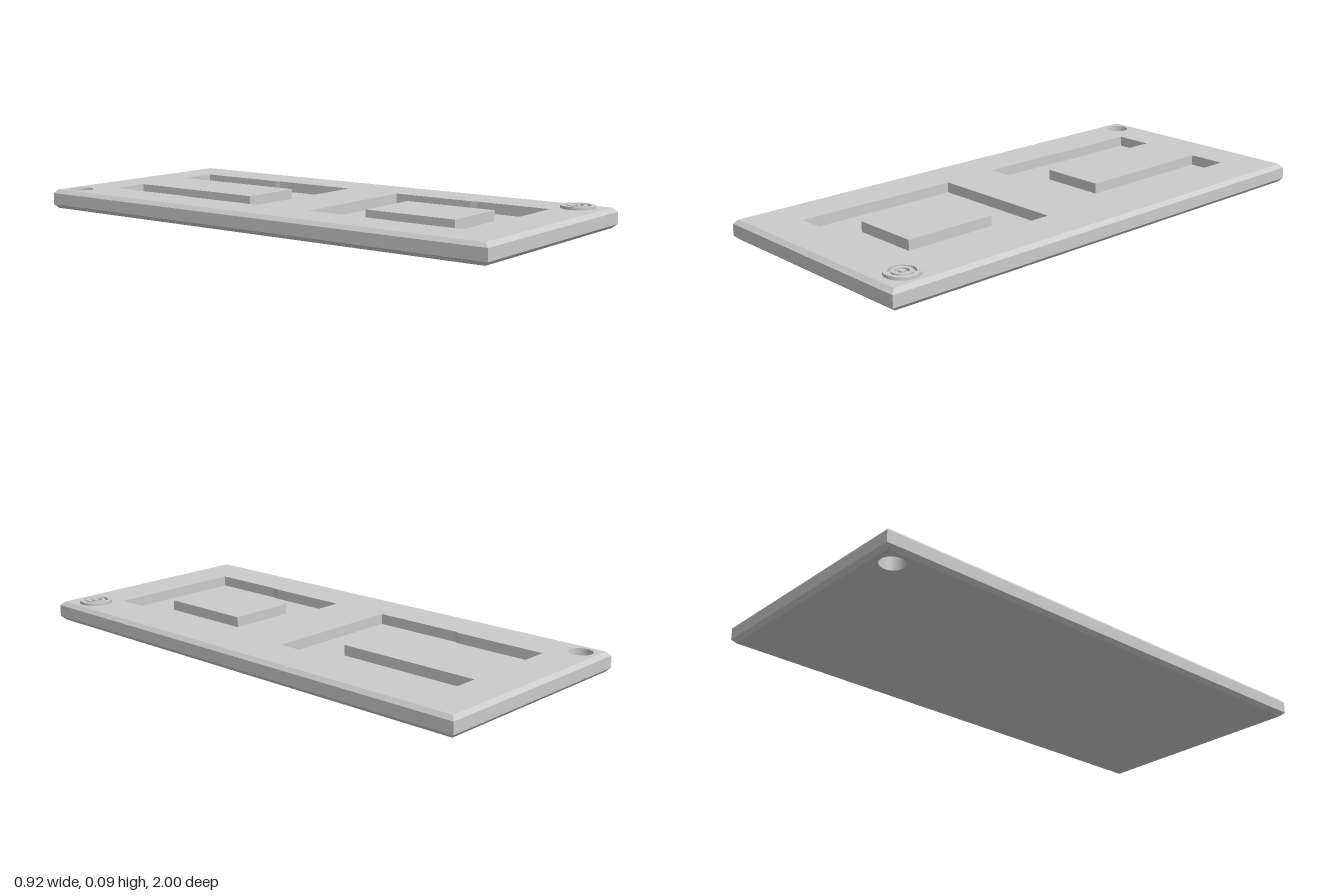
import * as THREE from 'three';

const TOP = 0.075, FLOOR = 0.035;

export function createModel() {
  const group = new THREE.Group();
  const mat = new THREE.MeshStandardMaterial({ color: 0xcccccc, side: THREE.DoubleSide });

  const add = (name, geo) => {
    const mesh = new THREE.Mesh(geo, mat);
    mesh.name = name;
    group.add(mesh);
    return mesh;
  };

  // outlines are lists of [x, z], counter-clockwise seen from above
  const rect = (x, z0, z1) => [[-x, z1], [x, z1], [x, z0], [-x, z0]];
  const circle = (cx, cz, r, n = 40) => Array.from({ length: n }, (_, i) => {
    const t = (i / n) * Math.PI * 2;
    return [cx + r * Math.cos(t), cz - r * Math.sin(t)];
  });
  const vecs = pts => pts.map(([x, z]) => new THREE.Vector2(x, -z));

  // flat horizontal face with holes
  const face = (name, outline, y, holes = [], down = false) => {
    const shape = new THREE.Shape(vecs(outline));
    shape.holes = holes.map(h => new THREE.Path(vecs(h)));
    const geo = new THREE.ShapeGeometry(shape).rotateX(-Math.PI / 2).translate(0, y, 0);
    if (down) {
      geo.index.array.reverse();
      geo.computeVertexNormals();
    }
    return add(name, geo);
  };

  // flat-sided walls through stacked outlines; inward turns them to face the middle
  const walls = (name, rings, inward = false) => {
    const pos = [];
    for (let k = 0; k < rings.length - 1; k++) {
      const [lo, y0] = rings[k], [hi, y1] = rings[k + 1];
      lo.forEach((_, i) => {
        const j = (i + 1) % lo.length;
        const a = [lo[i][0], y0, lo[i][1]], b = [lo[j][0], y0, lo[j][1]];
        const c = [hi[j][0], y1, hi[j][1]], d = [hi[i][0], y1, hi[i][1]];
        const quad = inward ? [a, c, b, a, d, c] : [a, b, c, a, c, d];
        pos.push(...quad.flat());
      });
    }
    const geo = new THREE.BufferGeometry();
    geo.setAttribute('position', new THREE.Float32BufferAttribute(pos, 3));
    geo.computeVertexNormals();
    return add(name, geo);
  };

  // slab with chamfered rims
  const rim = rect(0.448, -0.986, 0.983), side = rect(0.462, -1, 1);
  const bore = circle(-0.385, -0.92, 0.045);

  // three-sided channel pocket
  const channel = [
    [-0.285, -0.08], [0.28, -0.08], [0.28, -0.44], [0.275, -0.46], [0.275, -0.83],
    [0.125, -0.83], [0.125, -0.25], [-0.13, -0.25], [-0.13, -0.83],
    [-0.278, -0.83], [-0.278, -0.46], [-0.285, -0.44],
  ];
  // closed frame pocket around a raised block
  const frame = [
    [-0.285, 0.82], [0.28, 0.82], [0.28, 0.52], [0.275, 0.49],
    [0.275, 0.155], [-0.28, 0.155], [-0.28, 0.49], [-0.285, 0.52],
  ];
  const block = rect(0.134, 0.3, 0.677);

  walls('slabSides', [[rim, 0], [side, 0.015], [side, 0.06], [rim, TOP]]);
  face('slabBottom', rim, 0, [bore], true);
  face('slabTop', rim, TOP, [bore, channel, frame]);

  face('channelFloor', channel, FLOOR);
  walls('channelWalls', [[channel, FLOOR], [channel, TOP]], true);
  face('frameFloor', frame, FLOOR, [block]);
  walls('frameWalls', [[frame, FLOOR], [frame, TOP]], true);
  walls('blockSides', [[block, FLOOR], [block, TOP]]);
  face('blockTop', block, TOP);

  // through hole in the corner
  const hole = add('cornerHole', new THREE.CylinderGeometry(0.045, 0.045, TOP, 40, 1, true));
  hole.position.set(-0.385, TOP / 2, -0.92);

  // round stud made of raised concentric rings
  const stud = new THREE.Group();
  stud.name = 'ringedStud';
  stud.position.set(0.367, TOP, 0.887);
  for (const [inner, outer] of [[0.048, 0.064], [0.024, 0.037], [0, 0.011]]) {
    const profile = [[outer, 0], [outer, 0.011], [inner, 0.011], [inner, 0]];
    // each step gets its own strip so the edges stay sharp
    for (let i = 0; i < 3; i++) {
      const strip = profile.slice(i, i + 2).map(([r, y]) => new THREE.Vector2(r, y));
      const ring = new THREE.Mesh(new THREE.LatheGeometry(strip, 32), mat);
      ring.name = 'studRing';
      stud.add(ring);
    }
  }
  group.add(stud);

  return group;
}
